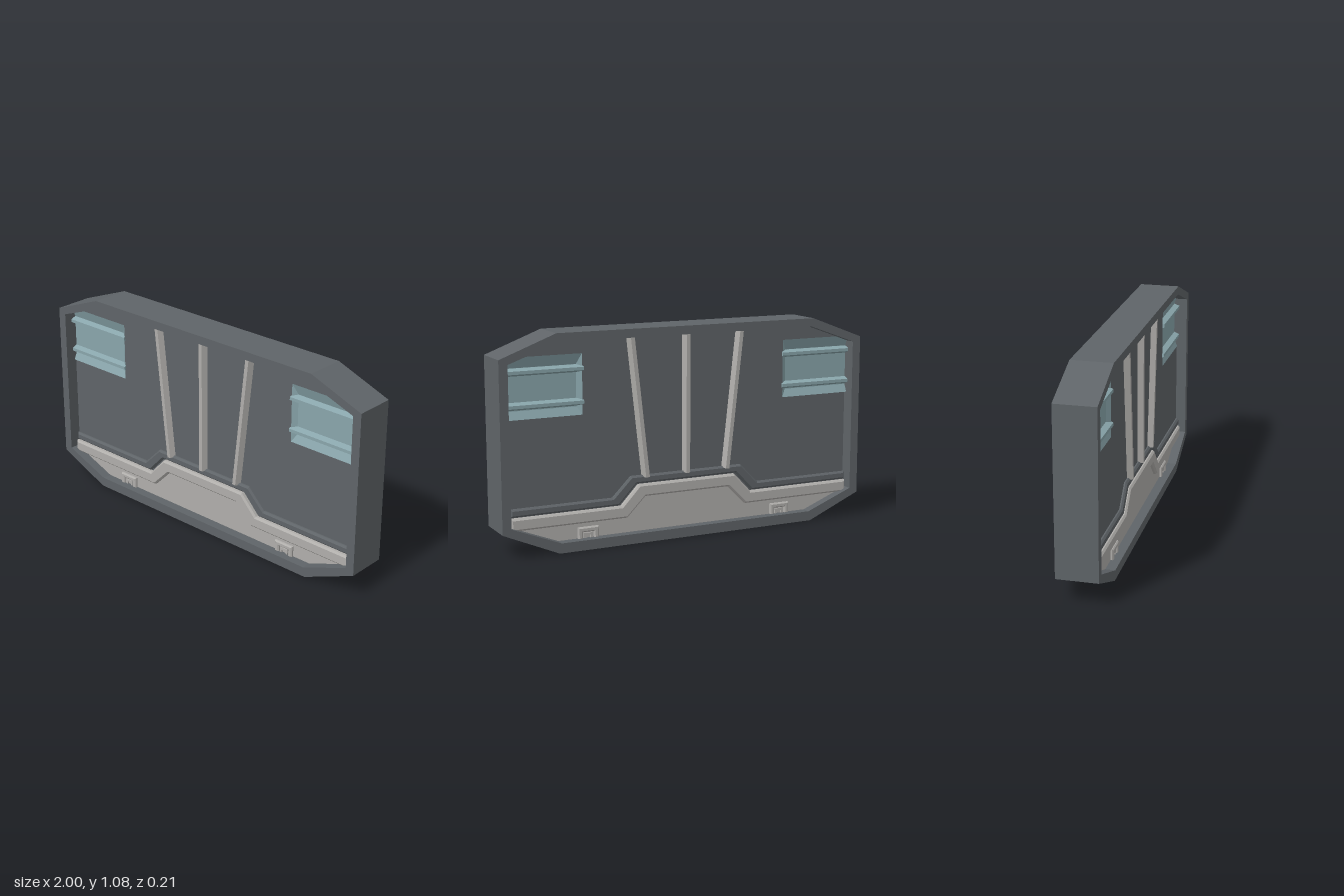
import * as THREE from 'three';

const std = (name, color) => Object.assign(new THREE.MeshStandardMaterial({ color }), { name });

// Closed shape from [x, y] pairs
const poly = (pts) => new THREE.Shape(pts.map(([x, y]) => new THREE.Vector2(x, y)));

// Mirrors a right-hand outline (listed bottom to top) to a full closed outline
const mirrored = (half) => [...half, ...half.map(([x, y]) => [-x, y]).reverse()];

// Raised-centre strip between two stepped lines; each line is [y, outer x, inner x]
function steppedBand(top, bottom, rise) {
  const line = ([y, xo, xi]) => [[-0.945, y], [-xo, y], [-xi, y + rise], [xi, y + rise], [xo, y], [0.945, y]];
  return poly([...line(bottom), ...line(top).reverse()]);
}

// Plate from z0 to z1 with an optional chamfer on its edges
function plate(name, shape, z0, z1, material, bevel = 0) {
  const geo = new THREE.ExtrudeGeometry(shape, {
    depth: z1 - z0 - bevel, bevelEnabled: bevel > 0, bevelSegments: 1,
    bevelSize: bevel, bevelThickness: bevel, bevelOffset: -bevel,
  });
  geo.translate(0, 0, z0);
  const mesh = new THREE.Mesh(geo, material);
  mesh.name = name;
  return mesh;
}

// Shallow tray, open at its outer end: floor plus three sloping sides
function trayGeometry(s) {
  const rim = [[0.96, 0.665], [0.56, 0.665], [0.56, 0.965], [0.96, 0.965]].map(([x, y]) => [s * x, y, 0.05]);
  const floor = [[0.96, 0.705], [0.585, 0.705], [0.585, 0.912], [0.96, 0.912]].map(([x, y]) => [s * x, y, 0.032]);
  const quads = [floor];
  for (let i = 0; i < 3; i++) quads.push([rim[i], rim[i + 1], floor[i + 1], floor[i]]);
  const geo = new THREE.BufferGeometry();
  const corners = quads.flatMap(([a, b, c, d]) => (s > 0 ? [a, c, b, a, d, c] : [a, b, c, a, c, d]));
  geo.setAttribute('position', new THREE.Float32BufferAttribute(corners.flat(), 3));
  geo.computeVertexNormals();
  return geo;
}

export function createModel() {
  const dark = std('darkGrey', 0x5f6468);
  const light = std('lightGrey', 0xb0aeab);
  const blue = std('paleBlue', 0x89a5ab);
  blue.side = THREE.DoubleSide;
  const model = new THREE.Group();
  model.name = 'wallPanel';

  // Octagonal frame
  const outline = poly(mirrored([[0.71, 0], [1, 0.125], [1, 0.965], [0.71, 1.075]]));
  outline.holes.push(poly(mirrored([[0.70, 0.05], [0.955, 0.15], [0.955, 0.94], [0.70, 1.032]])));
  model.add(plate('frame', outline, -0.103, 0.103, dark));

  // Wall inside the frame, slit at each side and cut out for the trays
  const wall = poly(mirrored([[0.70, 0.03], [0.943, 0.13], [0.943, 0.665], [0.56, 0.665],
    [0.56, 0.965], [0.92, 0.965], [0.70, 1.05]]));
  model.add(plate('wall', wall, -0.05, 0.05, dark));

  // Fittings, repeated on both faces
  for (const side of [0, 1]) {
    const face = new THREE.Group();
    face.name = side ? 'backFittings' : 'frontFittings';
    face.rotation.y = side * Math.PI;
    model.add(face);

    // Dark rail, light rail and skirting
    face.add(plate('darkRail', steppedBand([0.235, 0.41, 0.31], [0.194, 0.375, 0.28], 0.1),
      0.04, 0.066, dark, 0.009));
    face.add(plate('lightRail', steppedBand([0.19, 0.365, 0.27], [0.128, 0.335, 0.235], 0.1),
      0.04, 0.075, light, 0.009));
    const skirt = poly(mirrored([[0.70, 0.03], [0.943, 0.13], [0.943, 0.15], [0.36, 0.15], [0.25, 0.245]]));
    face.add(plate('skirting', skirt, 0.04, 0.054, light));

    // Fanned ribs
    const section = poly([[-0.024, 0], [0.024, 0], [0.01, -0.03], [-0.01, -0.03]]);
    for (const s of [-1, 0, 1]) {
      const x0 = 0.225 * s, x1 = 0.305 * s, h = 0.72;
      const geo = new THREE.ExtrudeGeometry(section, { depth: Math.hypot(h, x1 - x0), bevelEnabled: false });
      geo.rotateX(-Math.PI / 2);
      const rib = new THREE.Mesh(geo, light);
      rib.name = 'rib';
      rib.position.set(x0, 0.325, 0.048);
      rib.rotation.z = -Math.atan2(x1 - x0, h);
      face.add(rib);
    }

    for (const s of [-1, 1]) {
      // Blue tray with two raised ridges
      const tray = new THREE.Mesh(trayGeometry(s), blue);
      tray.name = 'blueTray';
      face.add(tray);
      for (const y of [0.728, 0.892]) {
        const profile = poly([[0.03, y - 0.02], [0.06, y - 0.008], [0.06, y + 0.008], [0.03, y + 0.02]]);
        const geo = new THREE.ExtrudeGeometry(profile, { depth: 0.402, bevelEnabled: false });
        geo.rotateY(-Math.PI / 2); // z -> -x, profile x -> z
        geo.translate(s * 0.756 + 0.201, 0, 0);
        const ridge = new THREE.Mesh(geo, blue);
        ridge.name = 'blueRidge';
        face.add(ridge);
      }

      // Floor brackets with a nested arch
      const arch = (w, h, t) => poly([[-w, 0.045], [-w, h], [w, h], [w, 0.045], [w - t, 0.045],
        [w - t, h - t], [t - w, h - t], [t - w, 0.045]]);
      const outer = plate('bracket', arch(0.055, 0.106, 0.025), 0.05, 0.068, light, 0.006);
      const inner = plate('bracketInsert', arch(0.024, 0.076, 0.012), 0.05, 0.062, light);
      for (const part of [outer, inner]) {
        part.position.x = s * 0.543;
        face.add(part);
      }
    }
  }
  return model;
}
